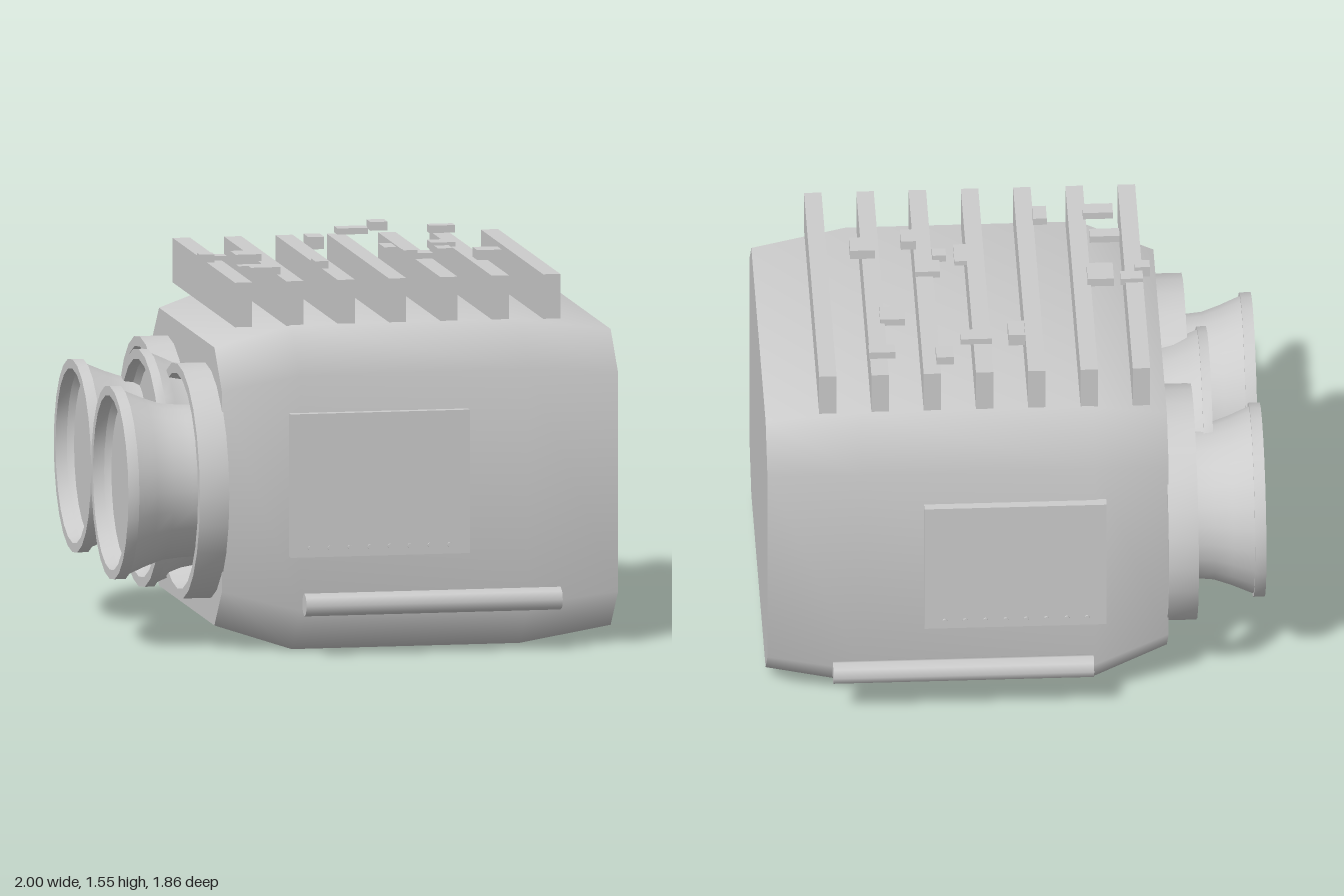
import * as THREE from 'three';
import { toCreasedNormals } from 'three/addons/utils/BufferGeometryUtils.js';

const MID_Y = 0.655;

export function createModel() {
  const model = new THREE.Group();
  model.name = 'engineBlock';
  const hullGrey = new THREE.MeshStandardMaterial({ color: 0xcccccc });
  hullGrey.name = 'hullGrey';

  const add = (name, geometry, x = 0, y = 0, z = 0) => {
    const mesh = new THREE.Mesh(geometry, hullGrey);
    mesh.name = name;
    mesh.position.set(x, y, z);
    model.add(mesh);
    return mesh;
  };
  const box = (name, w, h, d, x, y, z) => add(name, new THREE.BoxGeometry(w, h, d), x, y, z);

  // Lathe around the x axis; profile points are [x, radius], running towards -x on the outside
  const turned = (profile) => {
    const points = profile.map(([x, r]) => new THREE.Vector2(r, -x));
    const geometry = new THREE.LatheGeometry(points, 24);
    geometry.rotateZ(Math.PI / 2);
    return toCreasedNormals(geometry, 0.6);
  };

  // Hull: chamfered rectangle sections [x, half height, half width, chamfer]
  const sections = [
    [-0.61, 0.562, 0.735, 0.157],
    [-0.31, 0.655, 0.835, 0.18],
    [0.62, 0.655, 0.835, 0.18],
    [1.0, 0.598, 0.77, 0.158],
  ];
  const outline = ([x, h, w, c]) => [
    [w, -h + c], [w, h - c], [w - c, h], [-w + c, h],
    [-w, h - c], [-w, -h + c], [-w + c, -h], [w - c, -h],
  ].map(([z, y]) => [x, y + MID_Y, z]);

  const index = [];
  for (let s = 0; s < 3; s++) {
    for (let i = 0; i < 8; i++) {
      const a = s * 8 + i, b = s * 8 + (i + 1) % 8;
      index.push(a, a + 8, b, b, a + 8, b + 8);
    }
  }
  const meshFrom = (points, faces) => {
    const geometry = new THREE.BufferGeometry();
    geometry.setAttribute('position', new THREE.Float32BufferAttribute(points.flat(), 3));
    geometry.setIndex(faces);
    geometry.computeVertexNormals();
    return geometry;
  };
  add('hull', meshFrom(sections.flatMap(outline), index));

  // Flat ends of the hull
  const rear = [], front = [];
  for (let i = 1; i < 7; i++) {
    rear.push(0, i, i + 1);
    front.push(0, i + 1, i);
  }
  add('hullNozzleEnd', meshFrom(outline(sections[0]), rear));
  add('hullFlatEnd', meshFrom(outline(sections[3]), front));

  // Cooling fins
  for (let i = 0; i < 7; i++) {
    box('fin', 0.07, 0.18, 1.3, -0.505 + i * 0.2095, 1.397, 0);
  }

  // Small fittings on the fins: x, z, width, depth, bottom, top
  const fittings = [
    [-0.015, -0.39, 0.065, 0.10, 1.47, 1.52],
    [0.15, -0.455, 0.125, 0.07, 1.515, 1.54],
    [0.187, 0.115, 0.05, 0.12, 1.525, 1.545],
    [0.28, -0.58, 0.07, 0.08, 1.51, 1.545],
    [0.53, -0.525, 0.105, 0.055, 1.5, 1.53],
    [0.475, -0.24, 0.10, 0.09, 1.475, 1.505],
    [-0.495, -0.015, 0.09, 0.055, 1.475, 1.505],
    [-0.54, 0.04, 0.06, 0.05, 1.475, 1.52],
    [-0.37, 0.005, 0.105, 0.115, 1.48, 1.515],
    [-0.40, 0.29, 0.12, 0.055, 1.475, 1.505],
    [-0.38, 0.44, 0.12, 0.065, 1.49, 1.52],
    [-0.145, 0.40, 0.055, 0.09, 1.505, 1.535],
    [0.27, 0.145, 0.055, 0.05, 1.5, 1.53],
    [0.32, 0.08, 0.10, 0.085, 1.48, 1.51],
    [0.39, 0.24, 0.06, 0.085, 1.51, 1.55],
    [0.575, 0.21, 0.10, 0.095, 1.495, 1.535],
  ];
  for (const [x, z, w, d, y0, y1] of fittings) {
    box('fitting', w, y1 - y0, d, x, (y0 + y1) / 2, z);
  }

  // Side panels with bolts, and the pipes below them
  for (const side of [1, -1]) {
    box('sidePanel', 0.73, 0.58, 0.04, 0.01, 0.69, side * 0.85);
    for (let i = 0; i < 8; i++) {
      const bolt = new THREE.CylinderGeometry(0.01, 0.01, 0.02, 8).rotateX(Math.PI / 2);
      add('panelBolt', bolt, -0.277 + i * 0.0815, 0.437, side * 0.867);
    }
    const pipe = new THREE.CylinderGeometry(0.046, 0.046, 1.045, 8).rotateZ(Math.PI / 2);
    add('sidePipe', pipe, 0.22, 0.21, side * 0.885);
  }

  // Two outer nozzles, each inside a hollow collar
  const nozzle = turned([
    [-0.6, 0.305], [-0.72, 0.308], [-0.8, 0.316], [-0.87, 0.34], [-0.955, 0.376],
    [-0.955, 0.39], [-1, 0.39], [-1, 0.352], [-0.955, 0.348], [-0.93, 0.325], [-0.93, 0],
  ]);
  const collar = turned([
    [-0.605, 0.475], [-0.725, 0.475], [-0.725, 0.435], [-0.605, 0.435], [-0.605, 0.475],
  ]);
  for (const z of [0.39, -0.39]) {
    add('outerNozzle', nozzle, 0, MID_Y, z);
    add('nozzleCollar', collar, 0, MID_Y, z);
  }

  // Shorter, wider nozzle between them
  add('centreNozzle', turned([
    [-0.6, 0.41], [-0.67, 0.425], [-0.72, 0.448], [-0.767, 0.468],
    [-0.767, 0.48], [-0.805, 0.48], [-0.805, 0.44], [-0.767, 0.435], [-0.745, 0.41], [-0.745, 0],
  ]), 0, MID_Y, 0);

  return model;
}
